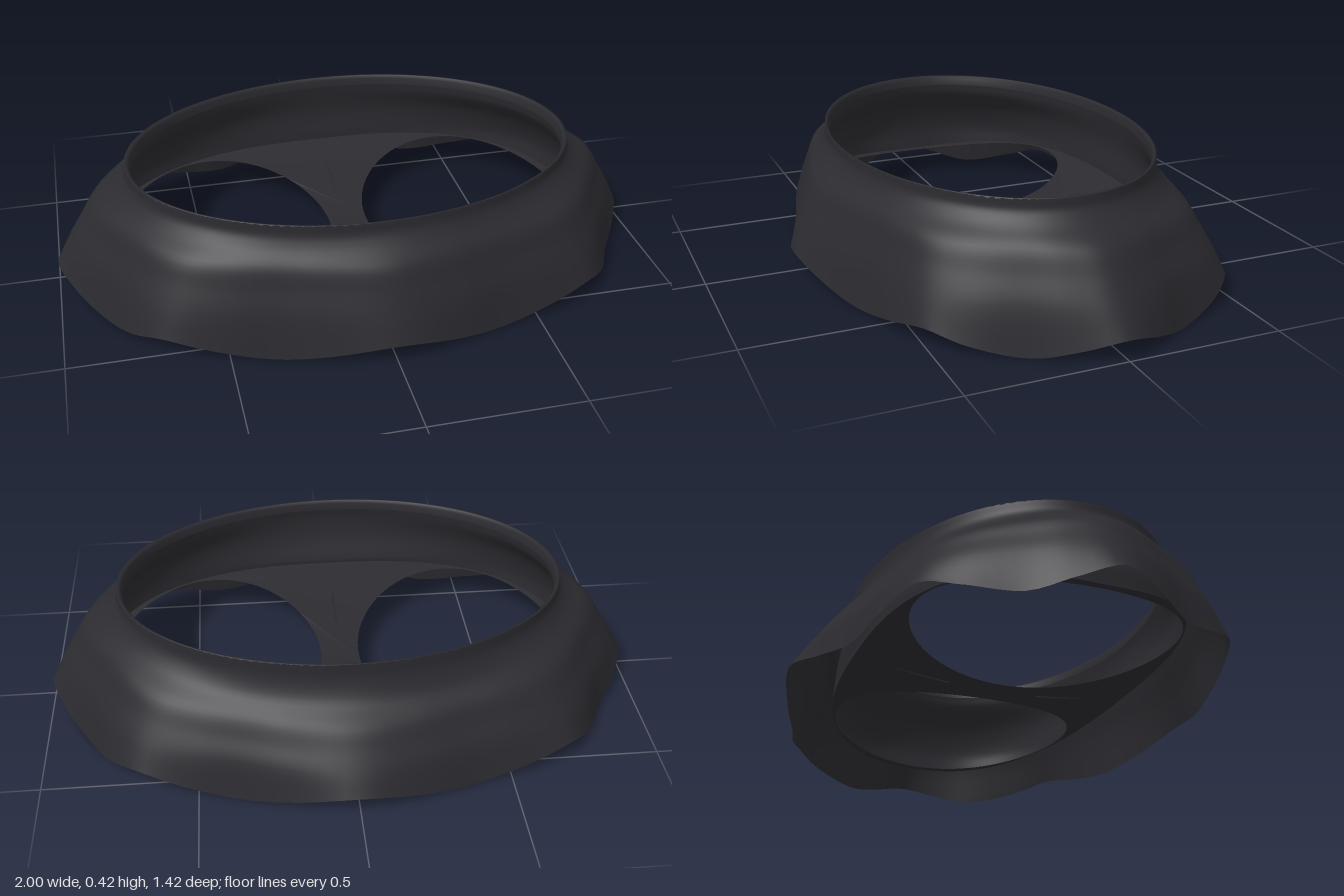
import * as THREE from 'three';

const COLS = 144;
const fabric = new THREE.MeshStandardMaterial({ color: 0x2b2b30, side: THREE.DoubleSide });
const V = (x, y, z) => new THREE.Vector3(x, y, z);

// Closed loft: column(j) returns the points of one vertical section, top to bottom
function loft(name, rows, column) {
  const pos = [], idx = [];
  for (let j = 0; j < COLS; j++) {
    for (const p of column(j)) pos.push(p.x, p.y, p.z);
    const a = j * rows, b = ((j + 1) % COLS) * rows;
    for (let i = 0; i < rows - 1; i++) {
      idx.push(a + i, b + i, a + i + 1, b + i, b + i + 1, a + i + 1);
    }
  }
  const g = new THREE.BufferGeometry();
  g.setAttribute('position', new THREE.Float32BufferAttribute(pos, 3));
  g.setIndex(idx);
  g.computeVertexNormals();
  const mesh = new THREE.Mesh(g, fabric);
  mesh.name = name;
  return mesh;
}

// One quarter of the wavy hem, from the side to the front, mirrored into a full loop
const quarter = [
  [1, 0.07, 0], [0.95, 0.035, 0.13], [0.875, 0.004, 0.25], [0.79, 0.035, 0.41], [0.7, 0.067, 0.505],
  [0.56, 0.04, 0.56], [0.37, 0.008, 0.605], [0.21, 0.03, 0.66], [0, 0.07, 0.708],
].map(p => V(...p));
const half = [...quarter, ...quarter.slice(0, -1).reverse().map(p => V(-p.x, p.y, p.z))];
const hem = new THREE.CatmullRomCurve3(
  [...half, ...half.slice(1, -1).reverse().map(p => V(p.x, p.y, -p.z))], true);

// Waist opening, slightly forward of centre
const waist = (t, y, s = 1) => V(0.75 * s * Math.cos(t), y, 0.03 + 0.515 * s * Math.sin(t));

// Lower edge of the inner body: a rounded, slightly boxy oval
const superPow = c => Math.sign(c) * Math.pow(Math.abs(c), 2 / 2.6);
const bodyEdge = t => V(0.83 * superPow(Math.cos(t)), 0, 0.01 + 0.5 * superPow(Math.sin(t)));
const panelY = z => 0.1 + 0.25 * z * z;

// Flared skirt: [height, share of the way from waist to hem]
const flare = [[0.42, 0], [0.385, 0.02], [0.35, 0.16], [0.3, 0.46], [0.23, 0.64], [0.15, 0.83]];
function skirtColumn(j) {
  const end = hem.getPoint(j / COLS);
  const t = Math.atan2(end.z / 0.708, end.x);
  const back = Math.max(0, -Math.sin(t)) ** 2;
  const pts = flare.map(([y, f], i) => {
    const drop = back * [0, 0.02, 0.05, 0.055, 0.04, 0.02][i];
    return waist(t, y - drop).lerp(V(end.x, y - drop, end.z), f);
  });
  return new THREE.CatmullRomCurve3([...pts, end], false, 'centripetal').getPoints(30);
}

// Inner body wall from the waistband lip down to the leg panel
function bodyColumn(j) {
  const t = j / COLS * Math.PI * 2;
  const low = bodyEdge(t);
  low.y = panelY(low.z);
  const mid = waist(t, 0.27, 1.03).lerp(V(low.x, 0.27, low.z), 0.5);
  const wall = new THREE.CatmullRomCurve3(
    [waist(t, 0.385, 0.975), waist(t, 0.35, 0.99), mid, V(low.x, 0.18, low.z), low], false, 'centripetal');
  return [...wall.getPoints(20)];
}

// Turned-in waistband lip
function lipColumn(j) {
  const t = j / COLS * Math.PI * 2;
  return [[0.975, 0.385], [0.978, 0.41], [0.988, 0.42], [1, 0.42], [1.0, 0.41]].map(([s, y]) => waist(t, y, s));
}

// Crotch panel with two oval leg openings
function legPanel() {
  const shape = new THREE.Shape();
  const outline = [];
  for (let j = 0; j < COLS; j++) {
    const p = bodyEdge(j / COLS * Math.PI * 2);
    outline.push(new THREE.Vector2(p.x, -p.z));
  }
  shape.setFromPoints(outline);
  for (const side of [-1, 1]) {
    shape.holes.push(new THREE.Path().absellipse(side * 0.435, -0.01, 0.37, 0.44, 0, Math.PI * 2));
  }
  const g = new THREE.ShapeGeometry(shape, 48).rotateX(-Math.PI / 2);
  const p = g.attributes.position;
  for (let i = 0; i < p.count; i++) p.setY(i, panelY(p.getZ(i)));
  g.computeVertexNormals();
  const mesh = new THREE.Mesh(g, fabric);
  mesh.name = 'legPanel';
  return mesh;
}

// Raised seam along the middle of the panel
function seam(name, z0, z1) {
  const pts = [0, 0.5, 1].map(k => {
    const z = z0 + (z1 - z0) * k;
    return V(0, panelY(z) + 0.001, z);
  });
  const mesh = new THREE.Mesh(
    new THREE.TubeGeometry(new THREE.CatmullRomCurve3(pts), 12, 0.004, 6), fabric);
  mesh.name = name;
  return mesh;
}

export function createModel() {
  const group = new THREE.Group();
  group.name = 'skirtedBrief';
  group.add(
    loft('skirt', 31, skirtColumn),
    loft('waistLip', 5, lipColumn),
    loft('innerBody', 21, bodyColumn),
    legPanel(),
    seam('backSeam', -0.34, -0.16),
    seam('frontSeam', 0.16, 0.34),
  );
  return group;
}
